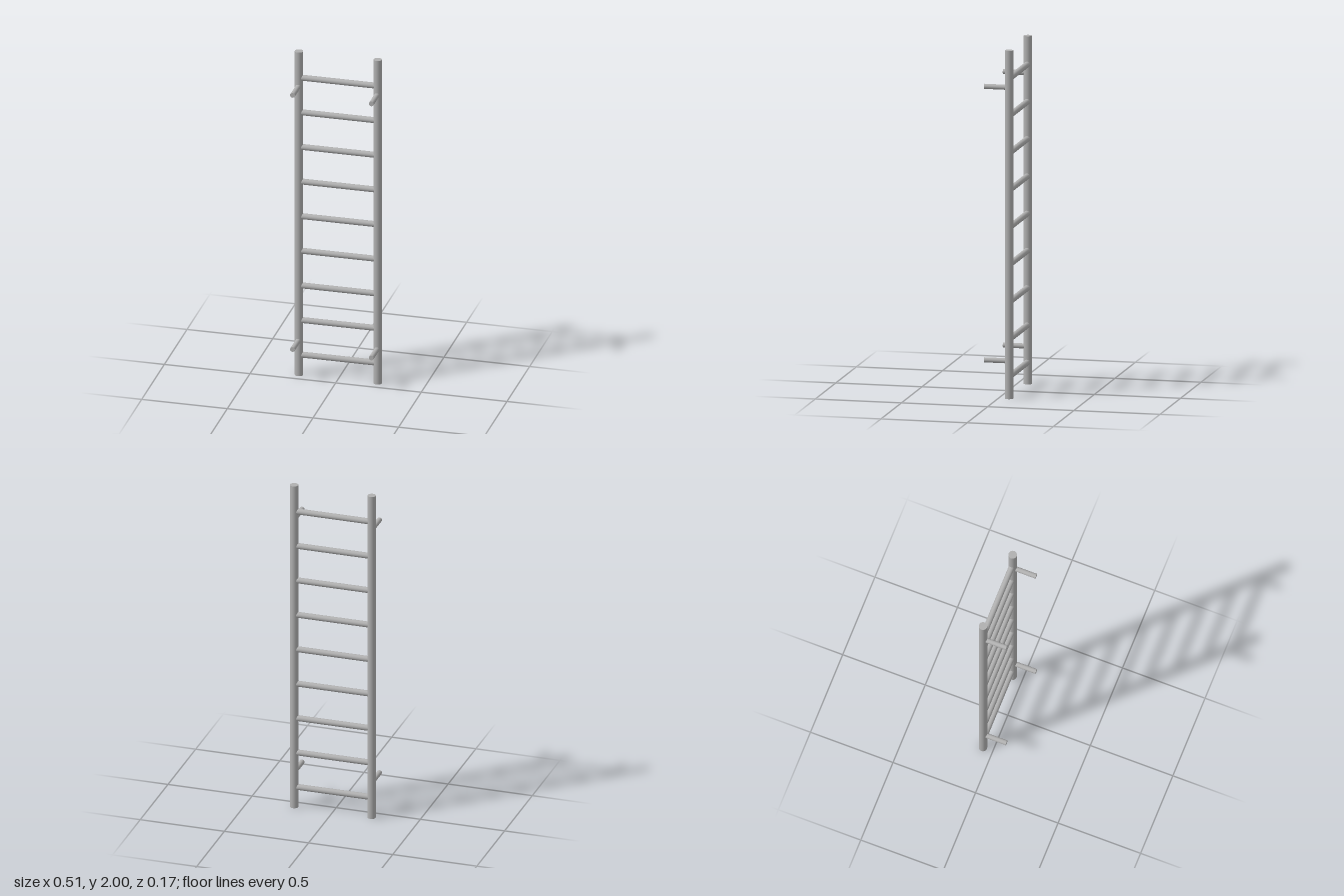
import * as THREE from 'three';

export function createModel() {
  const group = new THREE.Group();
  const steel = new THREE.MeshStandardMaterial({ color: 0xb0b0b0 });
  steel.name = 'brushed steel';

  const railX = 0.23, railZ = -0.06, railRadius = 0.024;

  // Round bar along one axis, centred on a point
  function bar(name, radius, length, axis, x, y, z) {
    const geometry = new THREE.CylinderGeometry(radius, radius, length, 32);
    if (axis === 'x') geometry.rotateZ(Math.PI / 2);
    if (axis === 'z') geometry.rotateX(Math.PI / 2);
    const mesh = new THREE.Mesh(geometry, steel);
    mesh.name = name;
    mesh.position.set(x, y, z);
    group.add(mesh);
  }

  // Upright rails with two wall standoffs each
  for (const [side, sx] of [['left', 1], ['right', -1]]) {
    bar(side + 'Rail', railRadius, 2, 'y', sx * railX, 1, railZ);
    for (const [level, y] of [['Lower', 0.216], ['Upper', 1.787]]) {
      const end = 0.083;
      bar(side + level + 'Standoff', 0.0145, end - railZ, 'z', sx * railX, y, (end + railZ) / 2);
    }
  }

  // Nine evenly spaced rungs, ending inside the rails
  for (let i = 0; i < 9; i++) {
    bar('rung' + (i + 1), 0.017, railX * 2, 'x', 0, 0.125 + i * 0.214, railZ);
  }
  return group;
}
